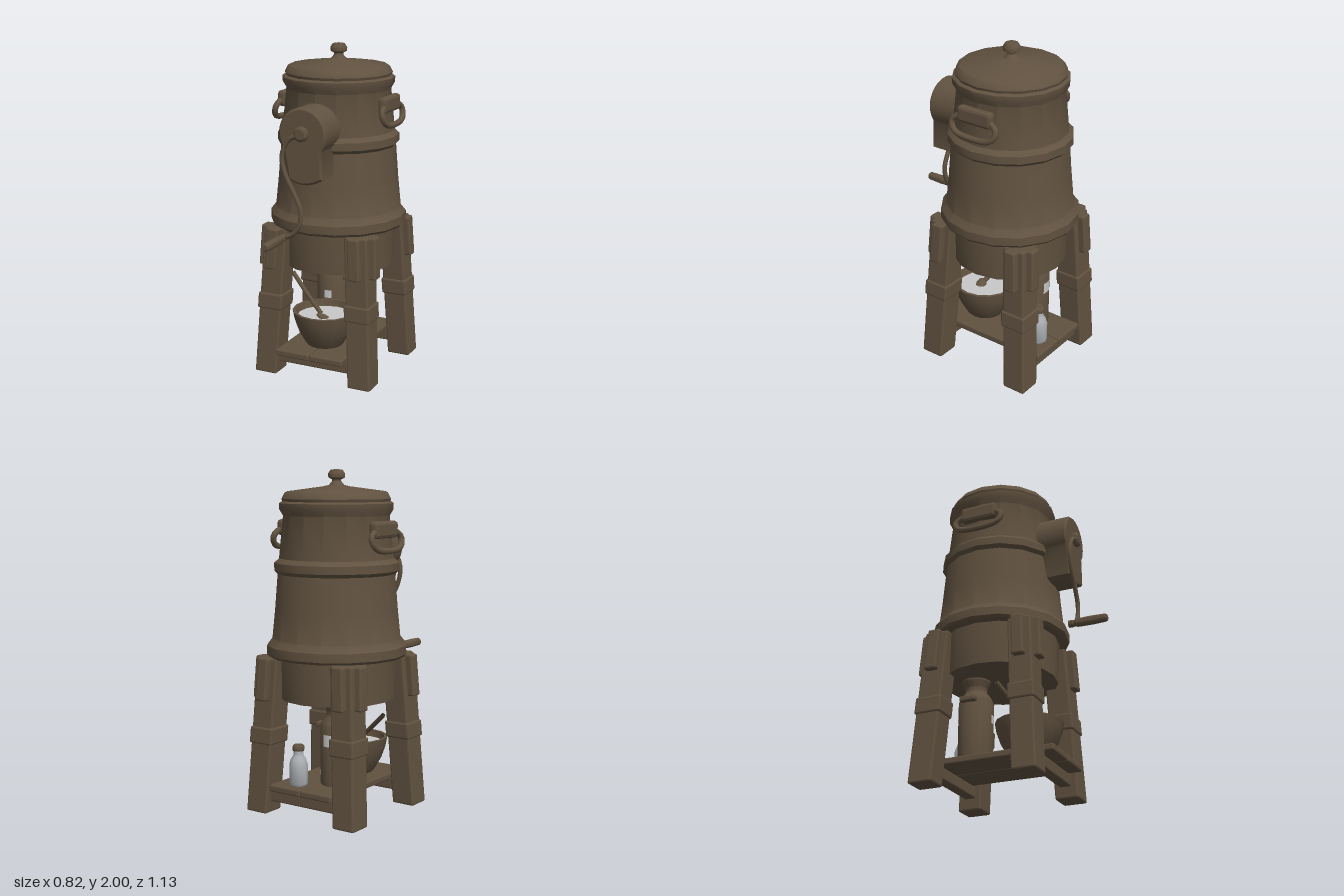
import * as THREE from 'three';
import { toCreasedNormals } from 'three/addons/utils/BufferGeometryUtils.js';
import { RoundedBoxGeometry } from 'three/addons/geometries/RoundedBoxGeometry.js';

const AXIS_Z = -0.155; // centre line of the churn

export function createModel() {
  const model = new THREE.Group();
  model.name = 'butterChurn';
  const material = (name, color, side = THREE.FrontSide) => {
    const m = new THREE.MeshStandardMaterial({ color, side });
    m.name = name;
    return m;
  };
  const brown = material('darkWood', 0x615240, THREE.DoubleSide);
  const milkWhite = material('milk', 0xc8c8c8, THREE.DoubleSide);
  const glass = material('bottleGlass', 0xabafb2);

  const churn = new THREE.Group();
  churn.name = 'churn';
  churn.position.z = AXIS_Z;
  model.add(churn);

  const add = (parent, name, geometry, mat = brown, x = 0, y = 0, z = 0) => {
    const mesh = new THREE.Mesh(geometry, mat);
    mesh.name = name;
    mesh.position.set(x, y, z);
    parent.add(mesh);
    return mesh;
  };
  const lathe = (profile, sides) => toCreasedNormals(
    new THREE.LatheGeometry(profile.map(([r, y]) => new THREE.Vector2(r, y)), sides), 0.65);
  const block = (w, h, d, r = 0.008) => {
    const g = new RoundedBoxGeometry(w, h, d, 1, r);
    g.computeVertexNormals();
    return g;
  };
  const tube = (points, radius, segments, closed = false) => new THREE.TubeGeometry(
    new THREE.CatmullRomCurve3(points.map((p) => new THREE.Vector3(...p)), closed), segments, radius, 8, closed);

  // Churn body, with its lower tub, skirt, middle band and top rim
  add(churn, 'lowerTub', lathe([[0, 0.67], [0.34, 0.67], [0.35, 0.93]], 16));
  add(churn, 'body', lathe([
    [0, 0.92], [0.4, 0.92], [0.412, 0.935], [0.412, 0.985], [0.38, 1.025], [0.362, 1.2], [0.346, 1.4],
    [0.365, 1.42], [0.365, 1.465], [0.337, 1.49], [0.312, 1.735], [0.333, 1.77], [0.335, 1.805],
    [0.32, 1.815], [0, 1.815],
  ], 16));
  add(churn, 'lid', lathe([
    [0.29, 1.81], [0.315, 1.815], [0.32, 1.83], [0.302, 1.865], [0.29, 1.872], [0.08, 1.9], [0.045, 1.908],
    [0.027, 1.93], [0.027, 1.94], [0.048, 1.95], [0.05, 1.972], [0.036, 1.994], [0, 2],
  ], 16));

  // Carrying handles on both sides
  for (const side of [0, 1]) {
    const handle = new THREE.Group();
    handle.name = side ? 'rightHandle' : 'leftHandle';
    handle.rotation.y = side * Math.PI;
    churn.add(handle);
    add(handle, 'handleLoop', tube([
      [0.335, 1.65, -0.1], [0.335, 1.65, 0.1], [0.345, 1.615, 0.15], [0.355, 1.575, 0.14],
      [0.362, 1.55, 0.1], [0.362, 1.55, -0.1], [0.355, 1.575, -0.14], [0.345, 1.615, -0.15],
    ], 0.018, 40, true));
    add(handle, 'handleClip', block(0.055, 0.095, 0.23, 0.018), brown, 0.327, 1.66, 0);
  }

  // Legs: blocks that lean inwards as they rise, with sleeves and paired brackets
  const legCentre = (y) => 0.3125 - 0.0565 * y;
  const leaned = (w, d, y0, y1, ox = 0, oz = 0) => {
    const g = block(w, y1 - y0, d, 0.01);
    g.translate(0, (y0 + y1) / 2, 0);
    const p = g.attributes.position;
    for (let i = 0; i < p.count; i++) {
      const c = legCentre(p.getY(i));
      p.setX(i, p.getX(i) + c + ox);
      p.setZ(i, p.getZ(i) + c + oz);
    }
    g.computeVertexNormals();
    return g;
  };
  ['frontLeftLeg', 'backLeftLeg', 'backRightLeg', 'frontRightLeg'].forEach((name, i) => {
    const leg = new THREE.Group();
    leg.name = name;
    leg.rotation.y = i * Math.PI / 2;
    churn.add(leg);
    add(leg, 'legPost', leaned(0.145, 0.145, 0, 0.92));
    add(leg, 'legSleeve', leaned(0.162, 0.162, 0.41, 0.51));
    add(leg, 'frontBracket', leaned(0.074, 0.08, 0.67, 0.92, 0, 0.0715));
    add(leg, 'sideBracket', leaned(0.08, 0.074, 0.67, 0.92, 0.0715, 0));
  });

  // Cross bars and shelf boards
  for (const s of [-1, 1]) {
    add(churn, 'crossBar', block(0.5, 0.07, 0.07), brown, 0, 0.105, s * 0.305);
    add(model, 'shelfBoard', block(0.216, 0.04, 0.795), brown, s * 0.111, 0.16, -0.1325);
  }

  // Gear housing: round head with a tapering tail
  const housing = new THREE.Shape();
  housing.moveTo(-0.078, 1.275);
  housing.quadraticCurveTo(0.01, 1.225, 0.113, 1.285);
  housing.lineTo(0.105, 1.445);
  housing.absarc(0, 1.535, 0.137, -0.68, Math.PI + 0.68, false);
  housing.closePath();
  add(model, 'gearHousing', toCreasedNormals(new THREE.ExtrudeGeometry(housing, {
    depth: 0.22, bevelThickness: 0.012, bevelSize: 0.012, bevelSegments: 1, curveSegments: 14,
  }), 0.6), brown, 0, 0, 0.1);

  // Crank
  const crank = new THREE.Group();
  crank.name = 'crank';
  model.add(crank);
  const rod = (name, profile, x, y, z) => {
    add(crank, name, lathe(profile, 10), brown, x, y, z).rotation.x = Math.PI / 2;
  };
  rod('crankHub', [[0, 0], [0.045, 0], [0.045, 0.025], [0.03, 0.036], [0, 0.036]], 0, 1.537, 0.325);
  add(crank, 'crankArm', tube([
    [0, 1.535, 0.344], [-0.075, 1.5, 0.344], [-0.12, 1.41, 0.344], [-0.105, 1.31, 0.344], [-0.045, 1.19, 0.344],
    [-0.003, 1.09, 0.344], [-0.015, 1, 0.344], [-0.06, 0.945, 0.344], [-0.12, 0.918, 0.344],
  ], 0.014, 40));
  rod('crankGrip', [[0, 0], [0.022, 0], [0.022, 0.025], [0.018, 0.03], [0.025, 0.05], [0.027, 0.14],
    [0.024, 0.225], [0.018, 0.233], [0, 0.233]], -0.12, 0.918, 0.332);

  // Mixing bowl with milk and spoon
  const bowl = new THREE.Group();
  bowl.name = 'bowl';
  bowl.position.z = 0.03;
  model.add(bowl);
  add(bowl, 'bowlShell', lathe([
    [0, 0.18], [0.11, 0.18], [0.125, 0.2], [0.165, 0.27], [0.19, 0.34], [0.2, 0.395],
    [0.182, 0.395], [0.17, 0.34], [0.11, 0.21], [0, 0.2],
  ], 16));
  add(bowl, 'bowlMilk', new THREE.CircleGeometry(0.174, 16).rotateX(-Math.PI / 2), milkWhite, 0, 0.355, 0);
  add(model, 'spoonHandle', tube([[-0.02, 0.375, 0.05], [-0.14, 0.468, -0.002], [-0.265, 0.57, -0.06]], 0.014, 6));
  const head = add(model, 'spoonHead', new THREE.SphereGeometry(0.045, 10, 6), brown, 0.005, 0.355, 0.06);
  head.scale.set(1.1, 0.35, 0.75);
  head.rotation.set(0, 0.4, -0.4);

  // Milk can with lugs and milk splashes
  const can = new THREE.Group();
  can.name = 'milkCan';
  can.position.set(-0.088, 0, -0.27);
  model.add(can);
  add(can, 'canShell', lathe([
    [0, 0.18], [0.1, 0.18], [0.102, 0.2], [0.102, 0.53], [0.092, 0.555], [0.065, 0.59], [0.065, 0.62],
    [0.085, 0.655], [0.085, 0.665], [0.07, 0.665], [0, 0.64],
  ], 14));
  for (const s of [-1, 1]) add(can, 'canLug', block(0.04, 0.032, 0.1), brown, s * 0.107, 0.525, 0);
  const splash = (angle, y, w, h) => add(can, 'milkSplash',
    new THREE.CylinderGeometry(0.105, 0.105, h, 4, 1, true, angle - w / 2, w), milkWhite, 0, y, 0);
  splash(Math.PI, 0.45, 0.55, 0.07);
  splash(0.1, 0.42, 0.45, 0.05);
  splash(Math.PI * 0.63, 0.24, 0.28, 0.03);

  // Small glass bottle with stopper
  const bottle = new THREE.Group();
  bottle.name = 'bottle';
  bottle.position.set(0.078, 0, -0.43);
  model.add(bottle);
  add(bottle, 'bottleBody', lathe([
    [0, 0.18], [0.048, 0.18], [0.054, 0.19], [0.054, 0.305], [0.045, 0.335], [0.028, 0.36], [0.028, 0.395], [0, 0.395],
  ], 12), glass);
  add(bottle, 'bottleStopper', lathe([
    [0, 0.385], [0.034, 0.385], [0.036, 0.395], [0.036, 0.408], [0.028, 0.42], [0, 0.42],
  ], 10));

  return model;
}
